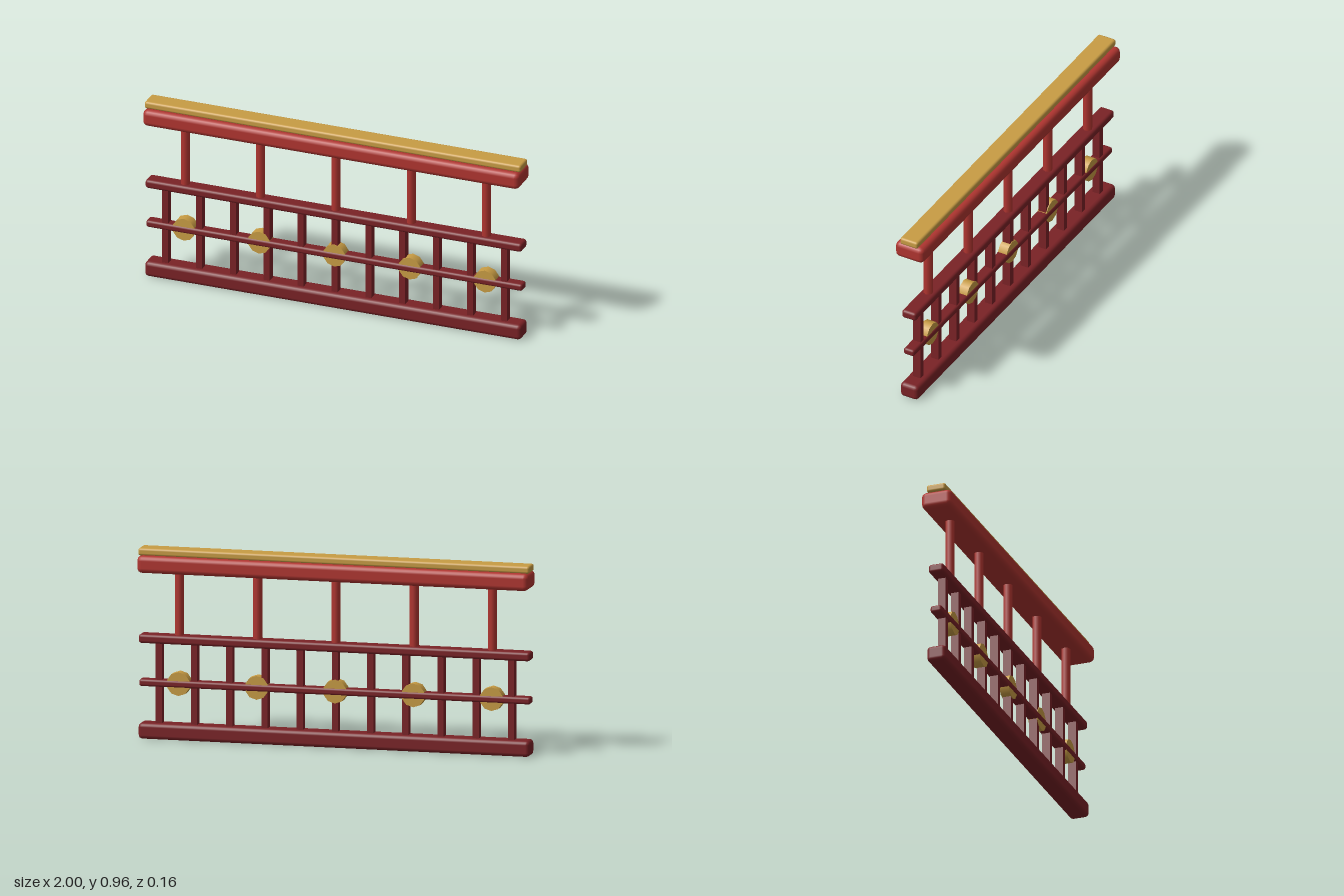
import * as THREE from 'three';
import { RoundedBoxGeometry } from 'three/addons/geometries/RoundedBoxGeometry.js';

function mat(name, color) {
  const m = new THREE.MeshStandardMaterial({ color });
  m.name = name;
  return m;
}

export function createModel() {
  const model = new THREE.Group();
  model.name = 'railing';
  const red = mat('red lacquer', 0xb03530);
  const dark = mat('dark red lacquer', 0x7a2226);
  const gold = mat('gold', 0xc89c44);

  const add = (name, geometry, material, x, y) => {
    const mesh = new THREE.Mesh(geometry, material);
    mesh.name = name;
    mesh.position.set(x, y, 0);
    model.add(mesh);
    return mesh;
  };

  // Full-length horizontal rails with rounded edges
  const rail = (name, y0, y1, depth, radius, material) =>
    add(name, new RoundedBoxGeometry(2, y1 - y0, depth, 2, radius), material, 0, (y0 + y1) / 2);
  rail('bottomRail', 0, 0.08, 0.1, 0.02, dark);
  rail('latticeRail', 0.262, 0.298, 0.06, 0.012, dark);
  rail('middleRail', 0.48, 0.525, 0.08, 0.014, dark);
  rail('handrail', 0.838, 0.925, 0.16, 0.025, red);
  rail('handrailCap', 0.922, 0.96, 0.1, 0.012, gold);

  // Lattice slats between the bottom and middle rails
  const slat = new THREE.BoxGeometry(0.032, 0.44, 0.042);
  for (let i = -5; i <= 5; i++) add('slat', slat, dark, i * 0.18, 0.28);

  // Upper posts and round bosses, evenly spaced
  const post = new THREE.CylinderGeometry(0.024, 0.024, 0.36, 8);
  const boss = new THREE.CylinderGeometry(0.06, 0.06, 0.05, 10);
  boss.rotateX(Math.PI / 2);
  for (let i = -2; i <= 2; i++) {
    add('post', post, red, i * 0.4, 0.68);
    add('boss', boss, gold, i * 0.4, 0.281);
  }
  return model;
}
